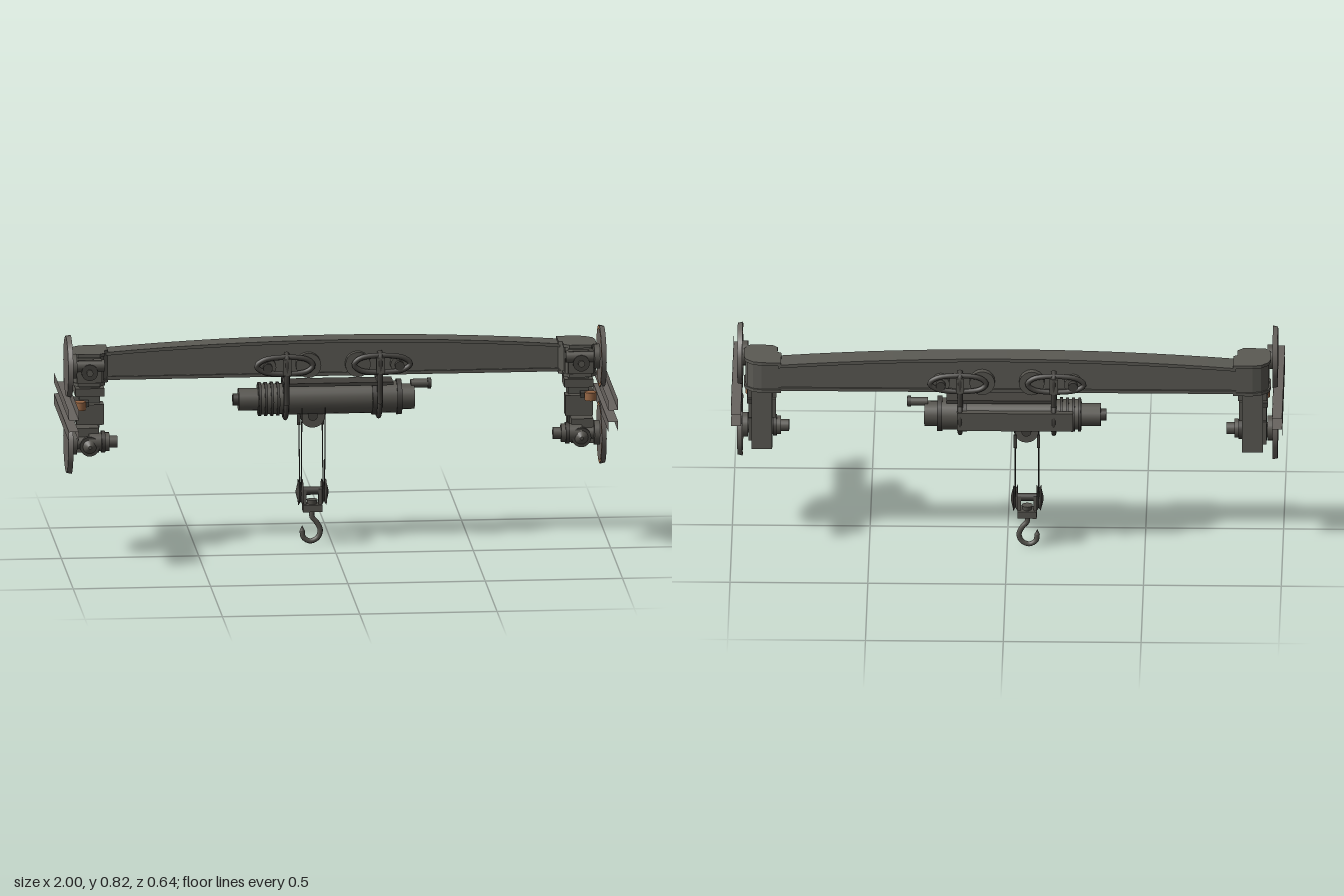
import * as THREE from 'three';

const mat = (name, color, side = THREE.FrontSide) => {
  const m = new THREE.MeshStandardMaterial({ color, side });
  m.name = name;
  return m;
};

export function createModel() {
  const paint = mat('girder grey', 0x5b5a54);
  const plate = mat('wheel grey', 0x68645f);
  const rail = mat('rail grey', 0x68645f, THREE.DoubleSide);
  const steel = mat('machinery grey', 0x57554f);
  const dark = mat('dark steel', 0x42403c);
  const rust = mat('rust', 0x966644);
  const model = new THREE.Group();

  const add = (name, geo, m, x = 0, y = 0, z = 0, parent = model) => {
    const mesh = new THREE.Mesh(geo, m);
    mesh.name = name;
    mesh.position.set(x, y, z);
    parent.add(mesh);
    return mesh;
  };
  const V = (x, y, z) => new THREE.Vector3(x, y, z);
  const box = (w, h, d) => new THREE.BoxGeometry(w, h, d);
  const cylY = (r, h, r2 = r, n = 20) => new THREE.CylinderGeometry(r, r2, h, n);
  // rotated so that the first radius is at +x or +z
  const cylX = (r, h, r2 = r, n = 20) => cylY(r, h, r2, n).rotateZ(-Math.PI / 2);
  const cylZ = (r, h, r2 = r, n = 20) => cylY(r, h, r2, n).rotateX(Math.PI / 2);
  const extrude = (pts, depth) => new THREE.ExtrudeGeometry(
    new THREE.Shape(pts.map(([x, y]) => new THREE.Vector2(x, y))), { depth, bevelEnabled: false });
  const tube = (pts, r, closed = false, n = 32) => new THREE.TubeGeometry(
    new THREE.CatmullRomCurve3(pts, closed, 'centripetal'), n, r, 8, closed);
  const rod = (a, b, r) => new THREE.TubeGeometry(new THREE.LineCurve3(a, b), 1, r, 6);

  // Cambered main girder: web box with top and bottom flanges
  const N = 16, half = 0.83;
  const topY = x => 0.735 + 0.031 * (1 - (x / half) ** 2);
  const strip = (lo, hi) => {
    const up = [], down = [];
    for (let i = 0; i <= N; i++) {
      const x = -half + (2 * half * i) / N;
      down.push([x, lo(x)]);
      up.unshift([x, hi(x)]);
    }
    return down.concat(up);
  };
  add('girderWeb', extrude(strip(() => 0.64, x => topY(x) - 0.01), 0.066), paint, 0, 0, -0.201);
  add('girderTopFlange', extrude(strip(x => topY(x) - 0.012, topY), 0.086), paint, 0, 0, -0.211);
  add('girderBottomFlange', box(2 * half, 0.012, 0.08), paint, 0, 0.638, -0.168);

  // Channel rail, open towards its wheel
  const railGeo = open => {
    const parts = [[-0.018, 0, -0.018, 1], [0.018, 0, 0.018, 1]];
    const g = new THREE.Group();
    for (const [x] of parts) add('railFlange', new THREE.PlaneGeometry(0.64, 0.037).rotateY(Math.PI / 2), rail, x, 0, 0, g);
    add('railWeb', new THREE.PlaneGeometry(0.036, 0.64).rotateX(-Math.PI / 2), rail, 0, -open * 0.0185, 0, g);
    return g;
  };

  // End carriages, mirrored left and right
  for (const s of [1, -1]) {
    const end = new THREE.Group();
    end.name = s > 0 ? 'leftCarriage' : 'rightCarriage';
    model.add(end);

    // curved elbow from girder to wheels
    const elbow = (o, h) => {
      const pts = [[0.82, -0.205 - o], [0.89, -0.205 - o], [0.922, -0.197 - o], [0.943 + o, -0.178],
        [0.95 + o, -0.15], [0.95 + o, -0.085], [0.935, -0.06 + o], [0.855, -0.06 + o],
        [0.84 - o, -0.075], [0.84 - o, -0.115], [0.82, -0.13 + o]];
      return extrude(pts.map(([x, z]) => [s * x, -z]), h).rotateX(-Math.PI / 2);
    };
    add('elbow', elbow(0, 0.1), paint, 0, 0.635, 0, end);
    add('elbowTopFlange', elbow(0.006, 0.012), paint, 0, 0.733, 0, end);
    add('elbowBottomFlange', elbow(0.006, 0.012), paint, 0, 0.625, 0, end);

    // tapered hanging leg
    const leg = [[-0.178, 0.63], [-0.178, 0.386], [-0.165, 0.386], [-0.125, 0.43], [-0.09, 0.5], [-0.08, 0.63]];
    add('leg', extrude(leg.map(([z, y]) => [-z, y]), 0.075).rotateY(Math.PI / 2), paint, s * 0.89 - 0.0375, 0, 0, end);
    add('legCollar', box(0.105, 0.03, 0.1), steel, s * 0.89, 0.6, -0.115, end);
    add('legFrontBlock', box(0.1, 0.075, 0.06), steel, s * 0.89, 0.52, -0.085, end);

    // wheels, axles and hubs
    for (const y of [0.706, 0.422]) {
      add('wheel', cylX(s > 0 ? 0.11 : 0.114, 0.018, s > 0 ? 0.114 : 0.11, 24), plate, s * 0.971, y, -0.042, end);
      add('wheelRustRim', new THREE.RingGeometry(0.1, 0.112, 24).rotateY(-s * Math.PI / 2), rust, s * 0.961, y, -0.042, end);
      add('wheelHub', cylX(0.045, 0.02), steel, s * 0.952, y, -0.042, end);
      add('axle', cylX(0.022, 0.12), steel, s * 0.9, y, -0.042, end);
    }
    add('upperBearing', box(0.09, 0.085, 0.045), steel, s * 0.895, 0.685, -0.055, end);
    add('bearingCap', cylZ(0.03, 0.02), dark, s * 0.895, 0.685, -0.026, end);
    add('bearingPin', cylZ(0.012, 0.016), steel, s * 0.895, 0.685, -0.013, end);
    add('lowerBearing', box(0.08, 0.09, 0.07), steel, s * 0.9, 0.43, -0.07, end);
    add('driveMotor', cylX(0.034, 0.075), steel, s * 0.86, 0.422, -0.045, end);
    add('motorRing', cylX(0.04, 0.014), dark, s * 0.845, 0.422, -0.045, end);
    add('motorCap', cylX(0.022, 0.03), steel, s * 0.808, 0.422, -0.045, end);
    add('gearHousing', cylZ(0.036, 0.03), dark, s * 0.895, 0.41, -0.03, end);
    add('gearCone', cylZ(0.006, 0.016, 0.025), steel, s * 0.895, 0.41, -0.007, end);

    // sideways guide roller on its bracket
    add('guideBracket', box(0.05, 0.018, 0.1), dark, s * 0.92, 0.56, -0.095, end);
    add('guideRoller', cylY(0.022, 0.03), rust, s * 0.93, 0.56, -0.033, end);

    // upper and lower rails
    for (const [y, open, name] of [[0.604, 1, 'upperRail'], [0.524, -1, 'lowerRail']]) {
      const r = railGeo(open);
      r.name = name;
      r.position.set(s * 0.982, y, 0);
      end.add(r);
    }
  }

  // Hoist drum and machinery
  const hoist = new THREE.Group();
  hoist.name = 'hoist';
  model.add(hoist);
  const hy = 0.537, hz = -0.187;
  const onAxis = (name, r, x0, x1, m = steel, n = 24) =>
    add(name, cylX(r, x1 - x0, r, n), m, (x0 + x1) / 2, hy, hz, hoist);
  onAxis('drum', 0.058, -0.17, 0.25);
  for (const x of [-0.18, 0.145, 0.235]) onAxis('drumFlange', 0.065, x, x + 0.018, dark);
  onAxis('gearbox', 0.056, -0.27, -0.17);
  for (let i = 0; i < 4; i++) onAxis('gearboxRib', 0.062, -0.268 + i * 0.022, -0.258 + i * 0.022, dark);
  onAxis('drumEndCap', 0.046, 0.25, 0.3);
  onAxis('hoistMotor', 0.042, -0.34, -0.27, steel, 12);
  onAxis('motorTail', 0.022, -0.36, -0.34, dark);
  add('limitSwitch', cylX(0.016, 0.075), steel, 0.325, 0.585, hz, hoist);
  add('limitSwitchCap', cylX(0.02, 0.012), dark, 0.355, 0.585, hz, hoist);
  add('backCover', box(0.42, 0.07, 0.025), steel, -0.03, hy, -0.25, hoist);
  add('topPlate', box(0.4, 0.012, 0.09), dark, 0.02, 0.598, -0.175, hoist);

  // Trolleys gripping the girder from both faces
  for (const s of [1, -1]) {
    const trolley = new THREE.Group();
    trolley.name = s > 0 ? 'leftTrolley' : 'rightTrolley';
    model.add(trolley);
    const x = s * 0.17;
    add('drumStrap', new THREE.TorusGeometry(0.07, 0.009, 8, 28).rotateY(Math.PI / 2), dark, x, hy, hz, trolley);
    for (const f of [1, -1]) {
      const z = d => -0.168 + f * d;
      add('trolleyWheel', cylZ(0.046, 0.025), steel, s * 0.09, 0.675, z(0.044), trolley);
      add('trolleyRoller', cylZ(0.032, 0.03), steel, s * 0.24, 0.672, z(0.046), trolley);
      add('rollerHub', cylZ(0.017, 0.022), dark, s * 0.24, 0.672, z(0.07), trolley);
      const loop = [[0.1, 0.655], [0.25, 0.655], [0.28, 0.678], [0.25, 0.702], [0.1, 0.702], [0.075, 0.678]];
      add('trolleyLoop', tube(loop.map(([a, b]) => V(s * a, b, z(0.068))), 0.01, true, 48), dark, 0, 0, 0, trolley);
      add('hangerStrap', tube([V(x, 0.72, z(0.05)), V(x, 0.705, z(0.075)), V(x, 0.64, z(0.075)),
        V(x, 0.58, z(0.066)), V(x, 0.53, z(0.06))], 0.01), dark, 0, 0, 0, trolley);
      add('hangerBlock', box(0.03, 0.06, 0.02), steel, x, 0.675, z(0.076), trolley);
    }
  }

  // Guide pulley beneath the drum
  add('guidePulley', cylZ(0.045, 0.03), steel, -0.07, 0.475, -0.187);
  add('guidePulleyHub', cylZ(0.018, 0.044), dark, -0.07, 0.475, -0.187);

  // Cables and lower sheaves
  const hook = new THREE.Group();
  hook.name = 'hookBlock';
  model.add(hook);
  for (const x of [-0.115, -0.03]) {
    const out = x < -0.0725 ? -1 : 1;
    add('frontCable', rod(V(x, 0.52, -0.105), V(x, 0.2, -0.137), 0.002), dark, 0, 0, 0, hook);
    add('backCable', rod(V(x, 0.5, -0.245), V(x, 0.2, -0.197), 0.002), dark, 0, 0, 0, hook);
    add('cableClamp', box(0.012, 0.05, 0.01), dark, x, 0.452, -0.239, hook);
    for (const d of [-1, 1]) {
      const flare = d > 0 ? cylX(0.048, 0.008, 0.035) : cylX(0.035, 0.008, 0.048);
      add('sheave', flare, dark, x + d * 0.004, 0.193, -0.167, hook);
    }
    add('sheaveCap', out > 0 ? cylX(0.006, 0.01, 0.045) : cylX(0.045, 0.01, 0.006), dark, x + out * 0.012, 0.193, -0.167, hook);
    add('sideCheek', box(0.012, 0.07, 0.03), steel, x - out * 0.014, 0.17, -0.167, hook);
  }
  add('sheaveAxle', cylX(0.015, 0.09), dark, -0.0725, 0.197, -0.167, hook);
  add('crosshead', box(0.07, 0.026, 0.056), steel, -0.0725, 0.136, -0.167, hook);
  add('hookNut', cylY(0.02, 0.02, 0.016), steel, -0.0725, 0.155, -0.167, hook);

  // Hook
  const curve = [[-0.0725, 0.13], [-0.0725, 0.1], [-0.055, 0.078], [-0.043, 0.05], [-0.053, 0.022],
    [-0.08, 0.01], [-0.104, 0.024], [-0.109, 0.05]];
  add('hook', tube(curve.map(([x, y]) => V(x, y, -0.167)), 0.0095, false, 40), steel, 0, 0, 0, hook);
  add('hookTip', new THREE.ConeGeometry(0.0095, 0.02, 8), steel, -0.109, 0.059, -0.167, hook);

  return model;
}
